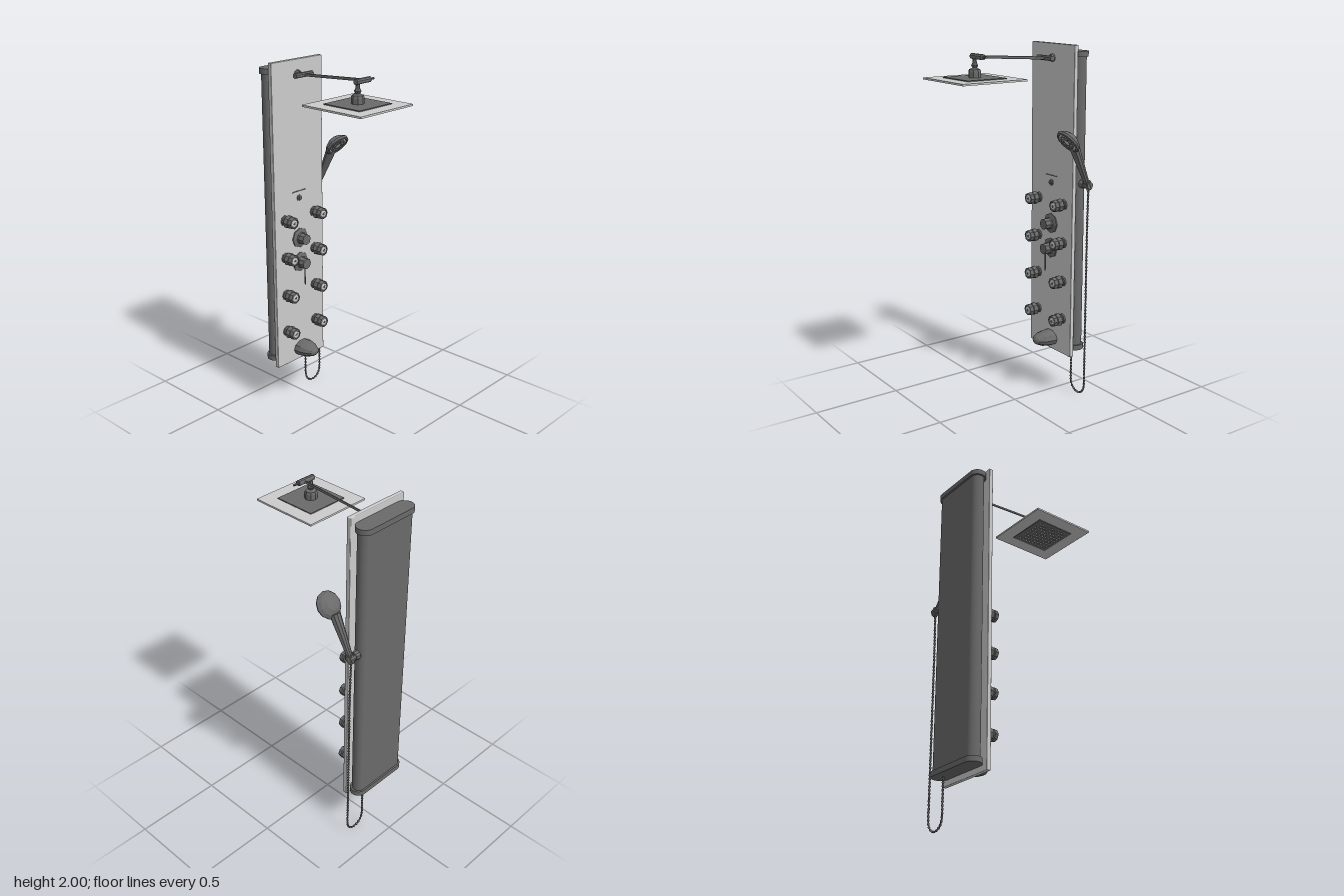
import * as THREE from 'three';
import { RoundedBoxGeometry } from 'three/addons/geometries/RoundedBoxGeometry.js';

const light = new THREE.MeshStandardMaterial({ color: 0xcccccc });
const dark = new THREE.MeshStandardMaterial({ color: 0x6a6a6a });
const darkFacet = new THREE.MeshStandardMaterial({ color: 0x6a6a6a, flatShading: true });
const V = (x, y, z) => new THREE.Vector3(x, y, z);
const UP = V(0, 1, 0);
const FACE = -0.275; // x of the panel's front surface
const MID = 0.032; // z of the panel's centre line

export function createModel() {
  const root = new THREE.Group();
  root.name = 'showerPanel';

  const add = (name, geo, pos, mat = darkFacet) => {
    const m = new THREE.Mesh(geo, mat);
    m.name = name;
    m.position.copy(pos);
    root.add(m);
    return m;
  };
  const box = (name, w, h, d, x, y, z, mat) => add(name, new THREE.BoxGeometry(w, h, d), V(x, y, z), mat);
  // Tapered rod between two points
  const rod = (name, a, b, ra, rb = ra, sides = 8) => {
    const dir = b.clone().sub(a);
    const m = add(name, new THREE.CylinderGeometry(rb, ra, dir.length(), sides), a.clone().add(b).multiplyScalar(0.5));
    m.quaternion.setFromUnitVectors(UP, dir.normalize());
    return m;
  };
  // Turned part whose axis points along dir; profile is [radius, distance along the axis]
  const turned = (name, profile, sides, pos, dir = V(1, 0, 0), mat = darkFacet) => {
    const pts = profile.map(([r, h]) => new THREE.Vector2(r, h));
    const m = add(name, new THREE.LatheGeometry(pts, sides), pos, mat);
    m.quaternion.setFromUnitVectors(UP, dir);
    return m;
  };
  // Upright slab with half-round ends
  const stadium = (name, r, halfLength, y0, y1) => {
    const s = new THREE.Shape();
    s.absarc(0, halfLength - r, r, 0, Math.PI, false);
    s.absarc(0, r - halfLength, r, Math.PI, Math.PI * 2, false);
    const geo = new THREE.ExtrudeGeometry(s, { depth: y1 - y0, bevelEnabled: false, curveSegments: 12 });
    geo.rotateX(-Math.PI / 2);
    return add(name, geo, V(-0.348, y0, MID), dark);
  };

  // Panel and rear column with end caps
  add('panel', new RoundedBoxGeometry(0.025, 1.755, 0.375, 3, 0.004), V(-0.2875, 1.1225, MID), light);
  stadium('column', 0.037, 0.177, 0.3, 1.94);
  stadium('bottomCap', 0.047, 0.187, 0.275, 0.305);
  stadium('topCap', 0.047, 0.187, 1.935, 1.965);

  // Overhead arm, a flat bar with its wall mount and end joint
  rod('armFlange', V(FACE, 1.922, MID), V(-0.257, 1.922, MID), 0.022, 0.018, 10);
  rod('armStub', V(-0.257, 1.922, MID), V(-0.225, 1.922, MID), 0.011);
  rod('armMount', V(-0.226, 1.924, -0.03), V(-0.226, 1.924, 0.098), 0.014, 0.014, 10);
  rod('arm', V(-0.235, 1.922, MID), V(0.2, 1.95, MID), 0.008).scale.z = 0.5;
  rod('armJoint', V(0.2, 1.95, -0.005), V(0.2, 1.95, 0.1), 0.015, 0.015, 10);
  rod('jointPin', V(0.2, 1.95, -0.035), V(0.2, 1.95, -0.005), 0.006);

  // Square overhead shower
  const HX = 0.197, HZ = 0.08;
  turned('headNeck', [[0, 0], [0.034, 0], [0.034, 0.03], [0.03, 0.043], [0.012, 0.05], [0.019, 0.063],
    [0.012, 0.076], [0.01, 0.1], [0, 0.1]], 8, V(HX, 1.84, HZ), UP);
  box('headPlate', 0.39, 0.01, 0.39, HX, 1.831, HZ, light);
  box('headCore', 0.24, 0.02, 0.24, HX, 1.831, HZ, dark);
  const nub = new THREE.CylinderGeometry(0.005, 0.004, 0.008, 6);
  for (let i = -4; i <= 4; i++) for (let j = -4; j <= 4; j++) {
    add('headNozzle', nub, V(HX + i * 0.023, 1.817, HZ + j * 0.023), light);
  }

  // Body jets in two columns, each with a pale insert and a dark tip
  const jet = [[0.03, 0], [0.03, 0.009], [0.022, 0.012], [0.027, 0.016], [0.038, 0.027], [0.033, 0.05],
    [0.028, 0.053], [0.035, 0.057], [0.032, 0.078], [0.024, 0.081], [0.021, 0.075], [0, 0.075]];
  for (const y of [1.13, 0.91, 0.685, 0.46]) for (const z of [0.146, -0.082]) {
    turned('bodyJet', jet, 8, V(FACE, y, z));
    turned('jetInsert', [[0.02, 0.074], [0.02, 0.079], [0, 0.079]], 12, V(FACE, y, z), V(1, 0, 0), light);
    turned('jetTip', [[0.01, 0.078], [0.008, 0.082], [0, 0.082]], 3, V(FACE, y, z));
  }

  // Two valves, the lower one with a lever
  for (const y of [1.0, 0.855]) {
    turned('valve', [[0.058, 0], [0.058, 0.006], [0.035, 0.013], [0.03, 0.02], [0.031, 0.056], [0, 0.056]],
      8, V(FACE, y, MID));
  }
  rod('valveLever', V(-0.236, 0.84, MID), V(-0.236, 0.725, MID), 0.004, 0.003, 6);

  // Diverter button and thin marker strip
  turned('button', [[0.018, 0], [0.018, 0.005], [0.01, 0.007], [0.01, 0.013], [0, 0.013]], 8, V(FACE, 1.235, MID));
  box('strip', 0.005, 0.005, 0.1, FACE + 0.001, 1.275, MID, dark);

  // Tub spout: flattened half dome
  const spout = turned('spout', [[1, 0], [0.98, 0.3], [0.83, 0.6], [0.5, 0.9], [0.2, 0.99], [0, 1]], 10, V(FACE, 0.315, 0.027));
  spout.geometry.scale(0.046, 0.118, 0.064);

  // Hand shower in its holder
  rod('holderBase', V(-0.35, 1.25, -0.145), V(-0.35, 1.25, -0.172), 0.026, 0.023, 10);
  rod('holderPin', V(-0.35, 1.25, -0.172), V(-0.352, 1.25, -0.212), 0.02, 0.02, 10);
  rod('holderCup', V(-0.36, 1.226, -0.195), V(-0.343, 1.268, -0.195), 0.016, 0.022, 10);
  rod('handle', V(-0.355, 1.235, -0.192), V(-0.245, 1.475, -0.2), 0.014, 0.029, 10);
  const face = V(0.78, -0.62, 0).normalize();
  const head = V(-0.208, 1.508, -0.2);
  turned('handHead', [[0, -0.036], [0.035, -0.031], [0.06, -0.015], [0.074, 0.004], [0.07, 0.015], [0.06, 0.018],
    [0.057, 0.012], [0, 0.012]], 12, head, face);
  turned('sprayFace', [[0.055, 0.011], [0.055, 0.015], [0, 0.015]], 24, head, face, light);
  for (const r of [0.022, 0.042]) {
    const ring = add('sprayRing', new THREE.TorusGeometry(r, 0.003, 5, 20), head.clone().addScaledVector(face, 0.015), dark);
    ring.quaternion.setFromUnitVectors(V(0, 0, 1), face);
  }
  for (let i = 0; i < 8; i++) {
    const a = (i / 8) * Math.PI * 2;
    const across = V(0.62, 0.78, 0).multiplyScalar(Math.cos(a) * 0.032).add(V(0, 0, Math.sin(a) * 0.032));
    add('sprayNozzle', new THREE.SphereGeometry(0.004, 6, 4), head.clone().addScaledVector(face, 0.015).add(across), dark);
  }

  // Ribbed hose hanging in a loop beneath the column
  const path = [V(-0.354, 1.235, -0.194), V(-0.35, 1.0, -0.195), V(-0.35, 0.6, -0.195), V(-0.35, 0.2, -0.195)];
  for (let i = 0; i <= 8; i++) {
    const a = (i / 8) * Math.PI;
    path.push(V(-0.35, 0.072 - Math.sin(a) * 0.065, -0.135 - Math.cos(a) * 0.06));
  }
  path.push(V(-0.35, 0.18, -0.075), V(-0.35, 0.28, -0.075));
  const SIDES = 6;
  const hose = new THREE.TubeGeometry(new THREE.CatmullRomCurve3(path), 320, 0.005, SIDES);
  const pos = hose.attributes.position, nor = hose.attributes.normal;
  for (let i = 0; i < pos.count; i++) {
    const rib = Math.floor(i / (SIDES + 1)) % 4 < 2 ? 0.0015 : -0.001;
    pos.setXYZ(i, pos.getX(i) + nor.getX(i) * rib, pos.getY(i) + nor.getY(i) * rib, pos.getZ(i) + nor.getZ(i) * rib);
  }
  add('hose', hose, V(0, 0, 0), dark);

  return root;
}
